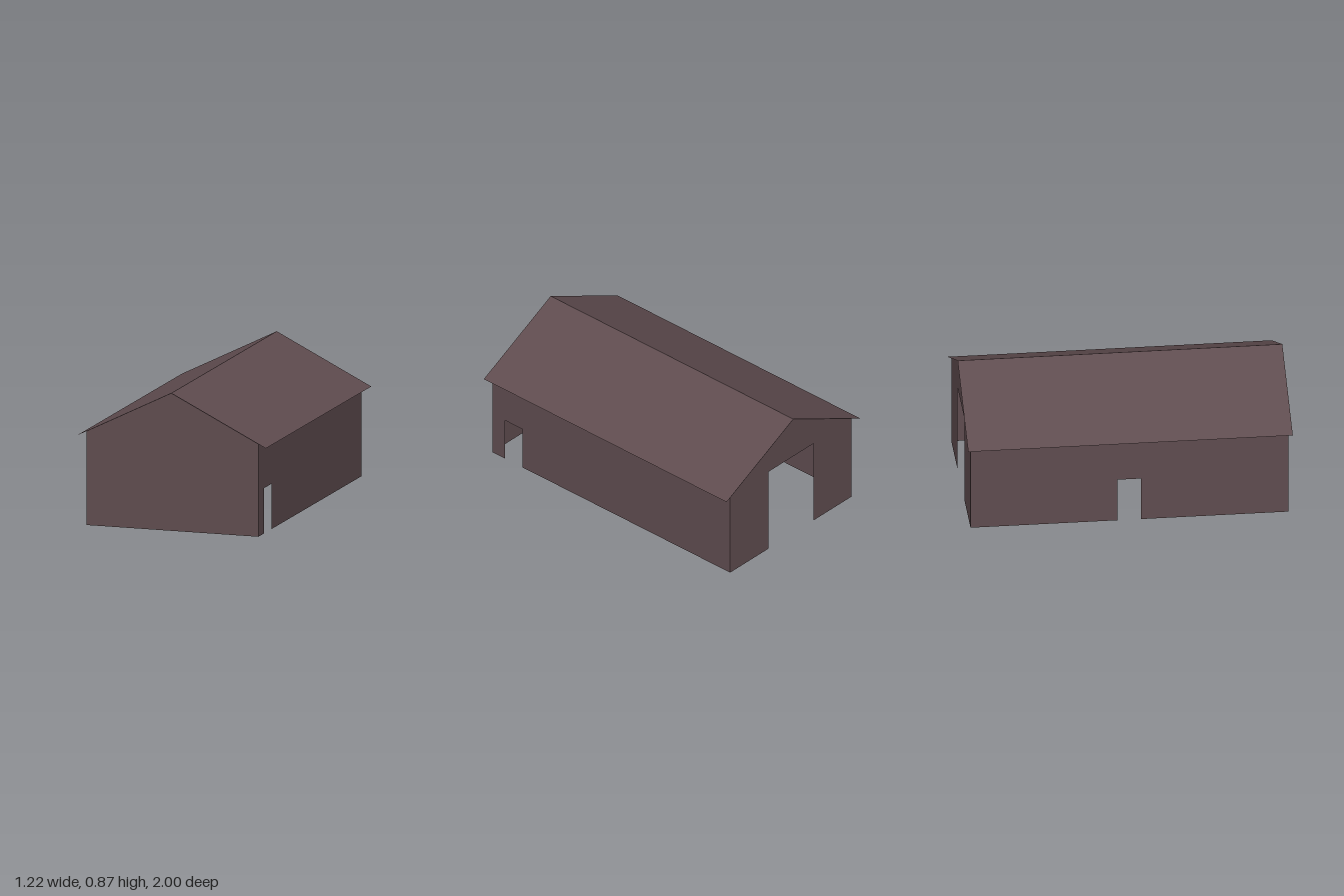
import * as THREE from 'three';

const W = 0.557, L = 0.98;              // half width and half length of the walls
const EAVE = 0.587, RIDGE = 0.865;      // wall top and ridge heights
const ROOF_W = 0.612, ROOF_L = 1.0, ROOF_Y = 0.56; // roof overhang

export function createModel() {
  const barn = new THREE.Group();
  barn.name = 'barn';
  const brown = new THREE.MeshStandardMaterial({ color: 0x5f4c4f, side: THREE.DoubleSide });
  brown.name = 'dark brown boards';

  // Thin upright panel from an outline in its own plane
  const panel = (name, points) => {
    const shape = new THREE.Shape(points.map(([x, y]) => new THREE.Vector2(x, y)));
    const mesh = new THREE.Mesh(new THREE.ShapeGeometry(shape), brown);
    mesh.name = name;
    barn.add(mesh);
    return mesh;
  };

  // Doorway notch cut up from the bottom edge, listed right to left
  const doorway = (from, to, height) => [[to, 0], [to, height], [from, height], [from, 0]];

  // Gable walls: closed front, large doorway in the back
  const gable = [[W, 0], [W, EAVE], [0, RIDGE], [-W, EAVE], [-W, 0]];
  panel('frontWall', gable).position.z = L;
  const back = panel('backWall', [...doorway(-0.207, 0.207, 0.57).reverse(), ...gable]);
  back.position.z = -L;
  back.rotation.y = Math.PI;

  // Side walls, each with one small doorway; the panel's x runs along -z or +z
  const sideWall = (name, side, from, to) => {
    const wall = panel(name, [...doorway(from, to, 0.283).reverse(),
      [L, 0], [L, EAVE], [-L, EAVE], [-L, 0]]);
    wall.rotation.y = side * Math.PI / 2;
    wall.position.x = side * W;
  };
  sideWall('leftWall', 1, -0.875, -0.73);
  sideWall('rightWall', -1, -0.075, 0.07);

  // Two roof slopes meeting at the ridge
  const drop = RIDGE - ROOF_Y;
  for (const side of [1, -1]) {
    const geometry = new THREE.PlaneGeometry(Math.hypot(ROOF_W, drop), 2 * ROOF_L);
    geometry.rotateX(-Math.PI / 2);
    const slope = new THREE.Mesh(geometry, brown);
    slope.name = side > 0 ? 'leftRoof' : 'rightRoof';
    slope.rotation.z = -side * Math.atan2(drop, ROOF_W);
    slope.position.set(side * ROOF_W / 2, (RIDGE + ROOF_Y) / 2, 0);
    barn.add(slope);
  }
  return barn;
}
